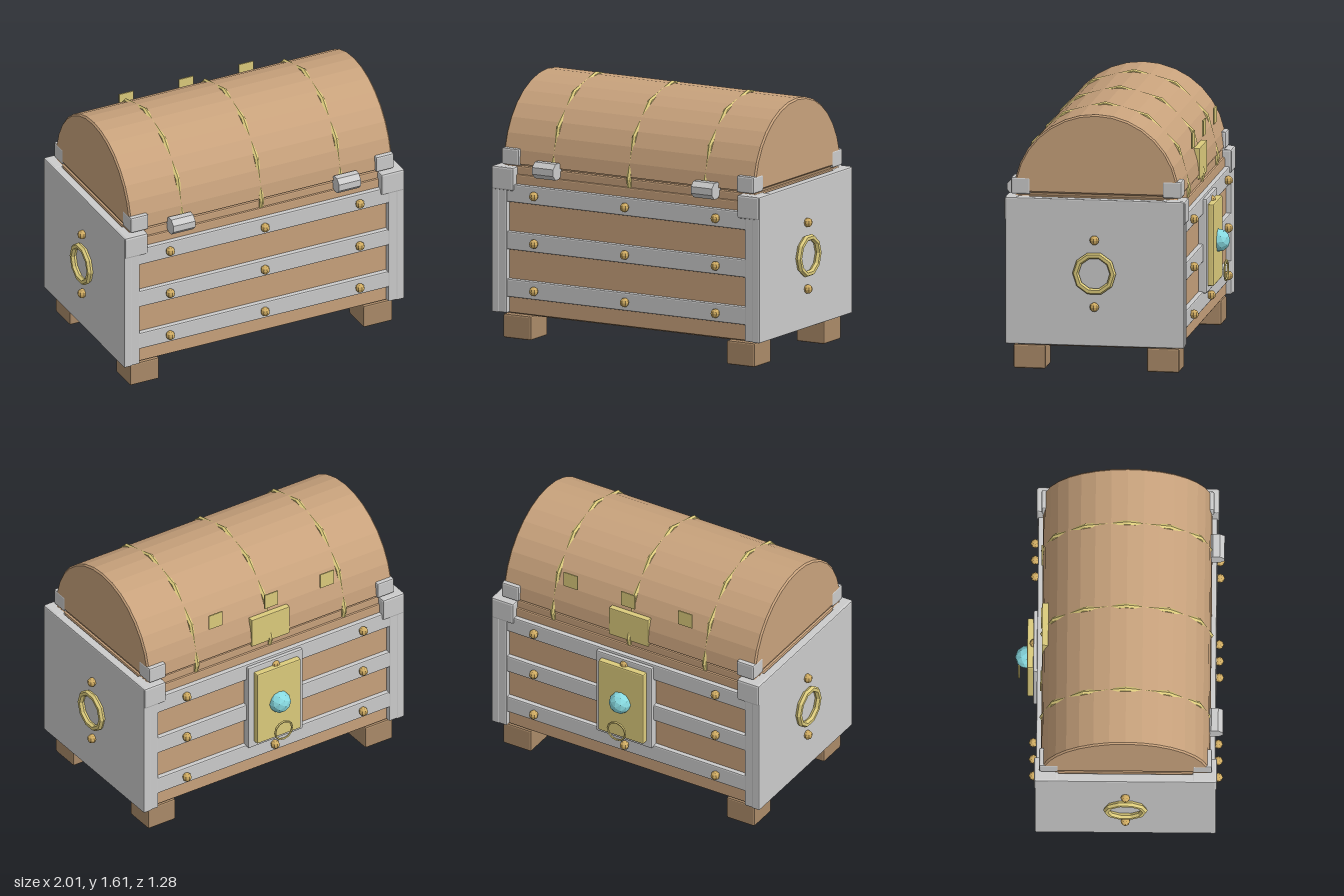
import * as THREE from 'three';
import { RoundedBoxGeometry } from 'three/addons/geometries/RoundedBoxGeometry.js';

const paint = (color) => new THREE.MeshStandardMaterial({ color, flatShading: true });
const METAL = paint(0xcccccc);
const WOOD = paint(0xc8a27c);
const FOOT = paint(0xaa8a68);
const GOLD = paint(0xdccb7c);
const BRASS = paint(0xd0ac62);
const GEM = paint(0x88dbe2);

const CZ = 0.045; // depth centre of the chest body

export function createModel() {
  const chest = new THREE.Group();
  chest.name = 'treasureChest';

  const add = (name, geometry, material, x = 0, y = 0, z = 0) => {
    const mesh = new THREE.Mesh(geometry, material);
    mesh.name = name;
    mesh.position.set(x, y, z);
    chest.add(mesh);
    return mesh;
  };
  // Softly bevelled box given by its limits on each axis
  const box = (name, material, [x0, x1], [y0, y1], [z0, z1], bevel = 0.008) => {
    const w = x1 - x0, h = y1 - y0, d = z1 - z0;
    const r = Math.min(bevel, w / 3, h / 3, d / 3);
    return add(name, new RoundedBoxGeometry(w, h, d, 1, r), material,
      (x0 + x1) / 2, (y0 + y1) / 2, (z0 + z1) / 2);
  };
  // Limits that run outward from the centre plane on either side
  const span = (side, a, b, centre = 0) =>
    side > 0 ? [centre + a, centre + b] : [centre - b, centre - a];
  const around = (half, centre = 0) => [centre - half, centre + half];

  // Wooden body, floor and rim
  box('body', WOOD, around(0.91), [0.17, 1.04], around(0.52, CZ));
  box('floor', WOOD, around(0.9), [0.155, 0.19], around(0.475, CZ));
  box('rim', WOOD, around(0.9), [1.03, 1.09], around(0.507, CZ));
  box('lidSeam', FOOT, around(0.885), [1.08, 1.12], around(0.48, CZ));

  // Feet
  for (const sx of [1, -1]) for (const sz of [1, -1]) {
    box('foot', FOOT, span(sx, 0.7, 0.9), [0.008, 0.158], span(sz, 0.315, 0.515, CZ), 0.01);
  }

  // Metal end plates and corner guards
  for (const sx of [1, -1]) {
    box('endPlate', METAL, span(sx, 0.905, 0.96), [0.17, 1.085], around(0.556, CZ));
    for (const sz of [1, -1]) {
      box('cornerPost', METAL, span(sx, 0.85, 0.957), [0.172, 1.08], span(sz, 0.5, 0.553, CZ));
      box('bodyCorner', METAL, span(sx, 0.8, 0.958), [0.94, 1.087], span(sz, 0.41, 0.562, CZ), 0.012);
      box('lidCorner', METAL, span(sx, 0.78, 0.902), [1.095, 1.2], span(sz, 0.411, 0.53, CZ), 0.01);
    }
  }

  // Horizontal metal straps with studs, on front and back
  const stud = new THREE.SphereGeometry(0.029, 8, 6);
  for (const sz of [1, -1]) {
    for (const y of [0.33, 0.627, 0.925]) {
      box('strap', METAL, around(0.87), around(0.056, y), span(sz, 0.5, 0.55, CZ));
      for (const x of [-0.65, 0, 0.65]) add('stud', stud, BRASS, x, y, CZ + sz * 0.567);
    }
  }

  // Ring handles with a stud above and below, on both ends
  const handle = new THREE.TorusGeometry(0.116, 0.02, 6, 10).rotateY(Math.PI / 2);
  for (const sx of [1, -1]) {
    add('ringHandle', handle, GOLD, sx * 0.978, 0.627, CZ);
    for (const y of [0.417, 0.834]) add('handleStud', stud, BRASS, sx * 0.974, y, CZ);
  }

  // Domed lid: a half-round profile drawn along the width
  const R = 0.505, bevel = 0.01;
  const profile = new THREE.Shape();
  for (let i = 0; i <= 16; i++) {
    const a = (i / 16) * Math.PI;
    const px = R * Math.cos(a), py = Math.max(R * Math.sin(a), 0.025);
    if (i === 0) profile.moveTo(px, py); else profile.lineTo(px, py);
  }
  const dome = new THREE.ExtrudeGeometry(profile, {
    depth: 1.78, bevelEnabled: true, bevelSize: bevel, bevelThickness: bevel, bevelSegments: 1,
  });
  dome.translate(0, 0, -0.89).rotateY(-Math.PI / 2);
  add('lid', dome, WOOD, 0, 1.09, CZ);

  // Thin faceted bands over the lid
  const band = new THREE.TorusGeometry(0.516, 0.016, 6, 8, Math.PI * 4 / 3)
    .rotateZ(-Math.PI / 6).rotateY(-Math.PI / 2);
  for (const x of [-0.543, 0, 0.543]) add('lidBand', band, GOLD, x, 1.09, CZ);

  // Hinge barrels
  const hinge = new THREE.CylinderGeometry(0.055, 0.055, 0.15, 8)
    .rotateZ(Math.PI / 2).rotateX(Math.PI / 8);
  for (const x of [-0.568, 0.568]) add('hinge', hinge, METAL, x, 1.092, 0.59);

  // Lock: backing, face plate, gem and pull ring
  box('lockBacking', METAL, around(0.2), [0.375, 0.965], [-0.528, -0.47]);
  box('lockPlate', GOLD, around(0.162), [0.415, 0.925], [-0.566, -0.51]);
  add('gem', new THREE.IcosahedronGeometry(0.072, 1), GEM, 0, 0.673, -0.568);
  add('lockRing', new THREE.TorusGeometry(0.063, 0.007, 5, 12), GOLD, 0, 0.487, -0.616);

  // Hasp and small plates on the lid
  box('hasp', GOLD, around(0.14), [1.075, 1.27], [-0.475, -0.435], 0.005);
  for (const x of [-0.41, 0, 0.41]) {
    box('lidTab', GOLD, around(0.05, x), [1.325, 1.425], [-0.482, -0.473], 0.002);
  }

  return chest;
}
